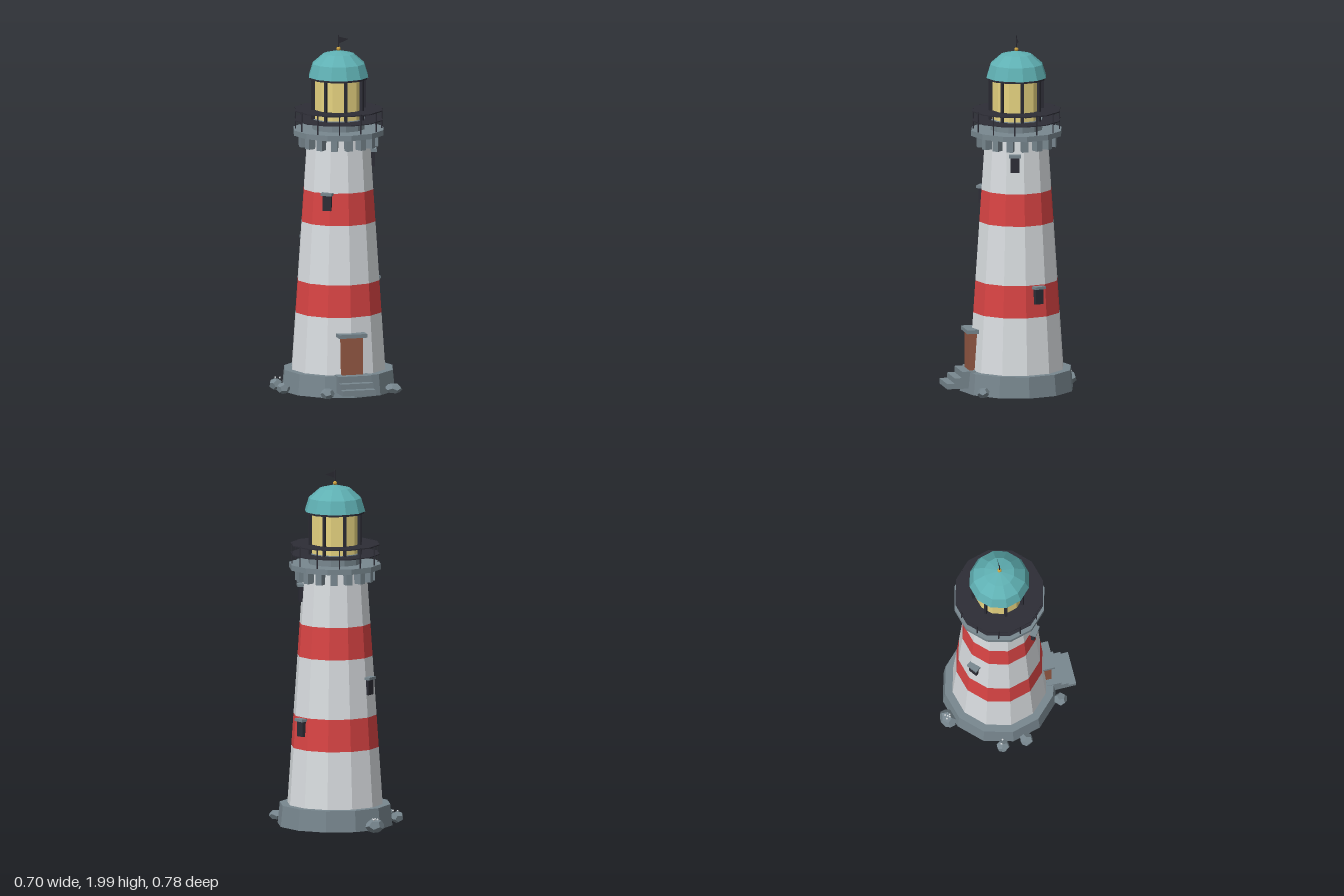
import * as THREE from 'three';

const paint = (name, color) => {
  const m = new THREE.MeshStandardMaterial({ color });
  m.name = name;
  return m;
};

export function createModel() {
  const white = paint('whitewash', 0xd9dde0);
  const red = paint('red stripe', 0xd94444);
  const stone = paint('grey stone', 0x78878f);
  const dark = paint('dark iron', 0x2d2d36);
  const glass = paint('lamp glass', 0xe6d380);
  const teal = paint('teal roof', 0x5fb0b3);
  const wood = paint('brown door', 0x935843);
  const gold = paint('gold', 0xc9a040);
  const flagMat = paint('flag cloth', 0x2b2b33);
  flagMat.side = THREE.DoubleSide;

  const model = new THREE.Group();
  model.name = 'lighthouse';
  const body = new THREE.Group();
  body.name = 'lighthouseBody';
  body.position.set(0.028, 0, -0.025);
  model.add(body);

  // Faceted mesh helper
  const add = (name, geo, mat, x = 0, y = 0, z = 0, parent = body) => {
    const g = geo.index ? geo.toNonIndexed() : geo;
    g.computeVertexNormals();
    const mesh = new THREE.Mesh(g, mat);
    mesh.name = name;
    mesh.position.set(x, y, z);
    parent.add(mesh);
    return mesh;
  };
  // Twelve-sided drum between two heights
  const drum = (name, y0, y1, r0, r1, mat, sides = 12) =>
    add(name, new THREE.CylinderGeometry(r1, r0, y1 - y0, sides), mat, 0, (y0 + y1) / 2, 0);
  // Box given by its height and depth limits
  const block = (name, w, y0, y1, z0, z1, mat, parent = body) =>
    add(name, new THREE.BoxGeometry(w, y1 - y0, z1 - z0), mat, 0, (y0 + y1) / 2, (z0 + z1) / 2, parent);
  const spun = (name, angle) => {
    const g = new THREE.Group();
    g.name = name;
    g.rotation.y = angle;
    body.add(g);
    return g;
  };

  // Plinth and striped tapering tower
  drum('plinth', 0.012, 0.13, 0.322, 0.31, stone);
  const towerR = (y) => 0.276 - 0.068 * y;
  const levels = [0.13, 0.45, 0.63, 0.96, 1.14, 1.45];
  for (let i = 0; i < 5; i++) {
    const a = levels[i], b = levels[i + 1];
    drum(i % 2 ? 'redBand' : 'whiteBand', a, b, towerR(a), towerR(b), i % 2 ? red : white);
  }

  // Door, lintel and steps
  block('door', 0.118, 0.13, 0.345, 0.2, 0.282, wood);
  block('doorLintel', 0.16, 0.343, 0.364, 0.2, 0.297, stone);
  [[0.1, 0.135, 0.33], [0.07, 0.1, 0.372], [0.04, 0.07, 0.415]].forEach(([y0, y1, z]) =>
    block('step', 0.19, y0, y1, 0.25, z, stone));

  // Windows spiralling up the tower
  [[108, 0.57], [217, 0.8], [326, 1.09], [75, 1.307]].forEach(([deg, y]) => {
    const g = spun('window', THREE.MathUtils.degToRad(deg));
    const r = towerR(y);
    block('windowPane', 0.05, y - 0.045, y + 0.04, r - 0.03, r + 0.013, dark, g);
    block('windowHood', 0.066, y + 0.04, y + 0.055, r - 0.03, r + 0.024, stone, g);
  });

  // Gallery deck on brackets
  drum('galleryDeck', 1.445, 1.475, 0.257, 0.257, stone);
  for (let i = 0; i < 16; i++) {
    const g = spun('bracket', (i / 16) * Math.PI * 2);
    block('bracketBlock', 0.036, 1.38, 1.446, 0.16, 0.222, stone, g);
  }

  // Railing: thin plates on posts
  drum('middleRail', 1.526, 1.531, 0.25, 0.25, dark);
  drum('topRail', 1.579, 1.585, 0.25, 0.25, dark);
  for (let i = 0; i < 12; i++) {
    const a = ((i + 0.5) / 12) * Math.PI * 2;
    add('railPost', new THREE.CylinderGeometry(0.004, 0.004, 0.114, 5), dark,
      Math.sin(a) * 0.239, 1.531, Math.cos(a) * 0.239);
  }

  // Lantern room
  drum('lanternSill', 1.475, 1.535, 0.148, 0.148, stone);
  drum('lanternGlass', 1.535, 1.76, 0.138, 0.138, glass);
  for (let i = 0; i < 8; i++) {
    const g = spun('mullion', (i / 8) * Math.PI * 2);
    block('mullionBar', 0.014, 1.53, 1.76, 0.138, 0.156, dark, g);
  }
  drum('lanternRing', 1.755, 1.769, 0.163, 0.163, dark);

  // Dome, finial and vane
  const domeProfile = [[0, 0], [0.17, 0]];
  for (let i = 1; i <= 3; i++) {
    const a = (i / 3) * Math.PI / 2;
    domeProfile.push([i === 3 ? 0 : 0.17 * Math.cos(a), 0.148 * Math.sin(a)]);
  }
  add('dome', new THREE.LatheGeometry(domeProfile.map((p) => new THREE.Vector2(...p)), 12), teal, 0, 1.767, 0);
  add('finial', new THREE.IcosahedronGeometry(0.012, 1), gold, 0, 1.922, 0);
  drum('vanePole', 1.92, 2, 0.003, 0.003, dark, 6);
  const flag = new THREE.Shape([[0, 1.99], [0, 1.95], [0.06, 1.974]].map((p) => new THREE.Vector2(...p)));
  add('flag', new THREE.ShapeGeometry(flag), flagMat);

  // Rocks around the plinth: x, z, half sizes, turn
  const rocks = [
    [-0.113, -0.322, 0.058, 0.04, 0.045, 0.3], [-0.343, -0.065, 0.038, 0.034, 0.038, 1.1],
    [-0.338, 0.07, 0.038, 0.032, 0.04, 2], [0.247, 0.245, 0.05, 0.03, 0.034, -0.5],
    [-0.153, 0.31, 0.038, 0.032, 0.04, 0.8],
  ];
  rocks.forEach(([x, z, sx, sy, sz, turn]) => {
    const geo = new THREE.DodecahedronGeometry(1, 0);
    geo.rotateX(turn);
    geo.scale(sx, sy, sz);
    add('rock', geo, stone, x, 0.041, z).rotation.y = turn;
  });

  // Pale barnacles on two rocks
  [[-0.125, -0.33], [-0.11, -0.322], [-0.118, -0.312], [-0.102, -0.335], [-0.105, -0.31],
    [-0.343, -0.074], [-0.32, -0.062]].forEach(([x, z]) =>
    add('barnacle', new THREE.IcosahedronGeometry(0.006, 0), white, x, 0.077, z));

  return model;
}
